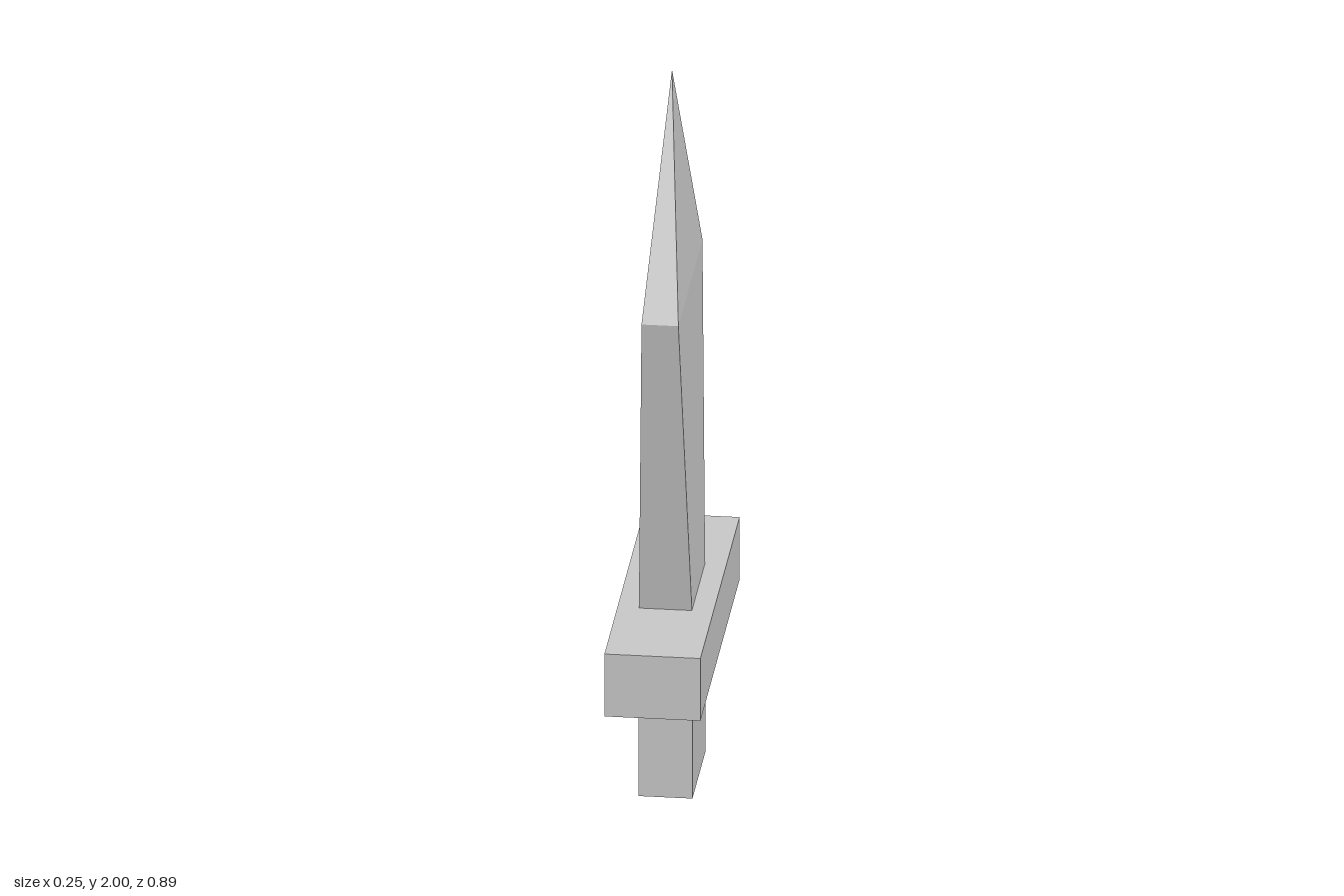
import * as THREE from 'three';
import { ConvexGeometry } from 'three/addons/geometries/ConvexGeometry.js';

export function createModel() {
  const group = new THREE.Group();
  group.name = 'dagger';
  const material = new THREE.MeshStandardMaterial({ color: 0xcccccc, flatShading: true });

  const add = (name, geometry, y = 0) => {
    const mesh = new THREE.Mesh(geometry, material);
    mesh.name = name;
    mesh.position.y = y;
    group.add(mesh);
  };

  const guardBottom = 0.358, guardTop = 0.535;

  // Grip and crossguard: plain blocks
  add('grip', new THREE.BoxGeometry(0.14, guardBottom, 0.294), guardBottom / 2);
  add('crossguard', new THREE.BoxGeometry(0.25, guardTop - guardBottom, 0.894), (guardBottom + guardTop) / 2);

  // Blade: rectangular sections [y, half thickness, half width], widening to the shoulder, then a point
  const points = [new THREE.Vector3(0, 2, 0)];
  for (const [y, hx, hz] of [[guardTop, 0.069, 0.15], [1.397, 0.048, 0.275]]) {
    for (const sx of [-1, 1]) {
      for (const sz of [-1, 1]) points.push(new THREE.Vector3(sx * hx, y, sz * hz));
    }
  }
  add('blade', new ConvexGeometry(points));

  return group;
}
